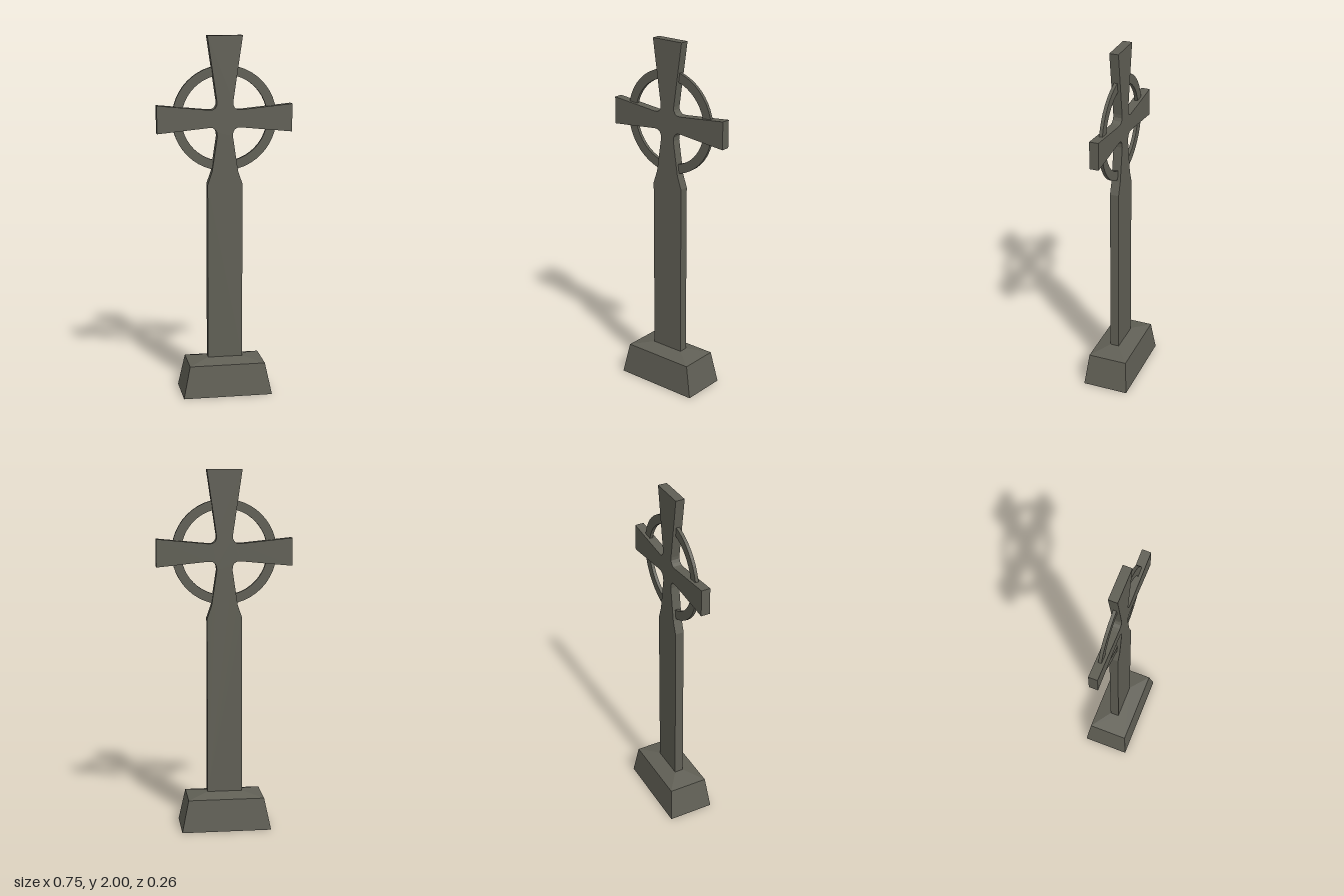
import * as THREE from 'three';

const stone = new THREE.MeshStandardMaterial({ color: 0x605f55, flatShading: true });
stone.name = 'weathered stone';

function addPart(group, name, geometry) {
  const mesh = new THREE.Mesh(geometry, stone);
  mesh.name = name;
  group.add(mesh);
  return mesh;
}

// Box from y0 to y1 whose top is narrower than its bottom (half sizes)
function taperedBlock(y0, y1, bottomX, bottomZ, topX, topZ) {
  const geometry = new THREE.BoxGeometry(2, y1 - y0, 2);
  geometry.translate(0, (y0 + y1) / 2, 0);
  const p = geometry.attributes.position;
  const middle = (y0 + y1) / 2;
  for (let i = 0; i < p.count; i++) {
    const top = p.getY(i) > middle;
    p.setX(i, p.getX(i) * (top ? topX : bottomX));
    p.setZ(i, p.getZ(i) * (top ? topZ : bottomZ));
  }
  geometry.computeVertexNormals();
  return geometry;
}

// Flat slab centred on z = 0
function slab(shape, depth, curveSegments) {
  const geometry = new THREE.ExtrudeGeometry(shape, { depth, bevelEnabled: false, curveSegments });
  return geometry.translate(0, 0, -depth / 2);
}

export function createModel() {
  const group = new THREE.Group();
  group.name = 'ringedCross';

  // Plinth with a shallow sloped cap
  addPart(group, 'plinth', taperedBlock(0, 0.18, 0.25, 0.13, 0.212, 0.111));
  addPart(group, 'plinthCap', taperedBlock(0.18, 0.203, 0.212, 0.111, 0.098, 0.025));

  // Shaft and flared arms: right half of the outline, then mirrored
  const half = [
    [0.097, 0.2], [0.097, 1.19], [0.072, 1.262], [0.043, 1.455],
    [0.045, 1.477], [0.053, 1.492], [0.068, 1.502], [0.09, 1.503],
    [0.373, 1.475], [0.373, 1.628], [0.09, 1.6],
    [0.068, 1.601], [0.053, 1.611], [0.045, 1.627], [0.045, 1.645],
    [0.097, 2],
  ];
  const mirrored = half.map(([x, y]) => [-x, y]).reverse();
  const outline = new THREE.Shape([...half, ...mirrored].map(([x, y]) => new THREE.Vector2(x, y)));
  addPart(group, 'shaftAndArms', slab(outline, 0.05, 1));

  // Thin ring joining the arms
  const ring = new THREE.Shape().absarc(0, 0, 0.288, 0, Math.PI * 2, false);
  ring.holes.push(new THREE.Path().absarc(0, 0, 0.237, 0, Math.PI * 2, true));
  addPart(group, 'ring', slab(ring, 0.018, 24)).position.y = 1.553;

  return group;
}
